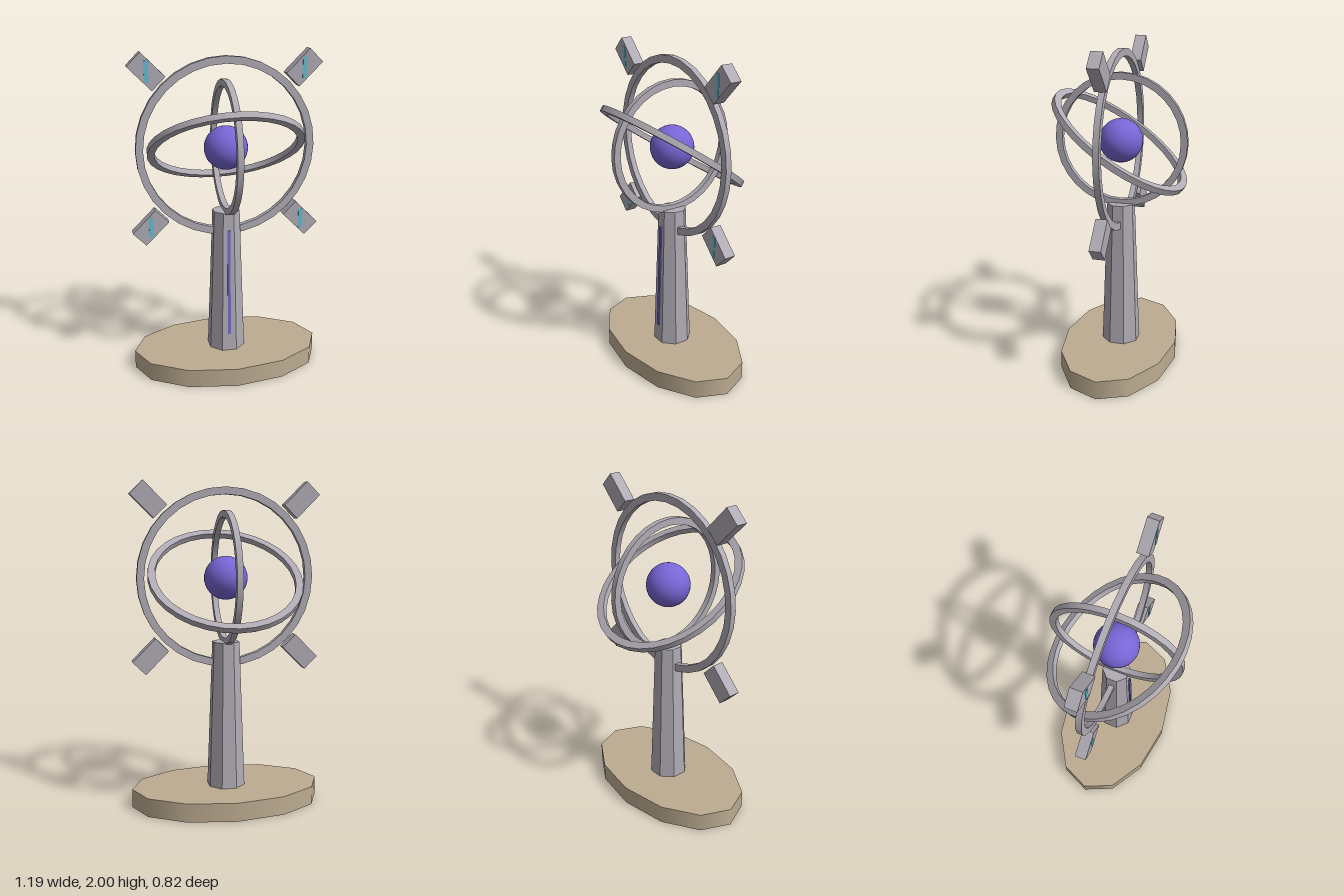
import * as THREE from 'three';
import { toCreasedNormals } from 'three/addons/utils/BufferGeometryUtils.js';

const material = (name, color) => {
  const m = new THREE.MeshStandardMaterial({ color });
  m.name = name;
  return m;
};

export function createModel() {
  const model = new THREE.Group();
  model.name = 'armillarySphere';
  const metal = material('paleMetal', 0xb0abb4);
  const stone = material('tanStone', 0xbdac91);
  const violet = material('violet', 0x7866d6);
  const cyan = material('cyan', 0x62bfd4);
  const centerY = 1.422;

  const add = (name, geometry, mat, x = 0, y = 0, z = 0) => {
    const mesh = new THREE.Mesh(geometry, mat);
    mesh.name = name;
    mesh.position.set(x, y, z);
    model.add(mesh);
    return mesh;
  };

  // Twelve-sided oval base
  const base = new THREE.CylinderGeometry(0.595, 0.595, 0.115, 12);
  base.scale(1, 1, 0.36 / 0.595);
  add('base', base, stone, 0, 0.0575, 0);

  // Tapered octagonal column, flat side to the front
  const column = new THREE.CylinderGeometry(0.086, 0.12, 0.915, 8);
  column.rotateY(Math.PI / 8);
  add('column', toCreasedNormals(column, 0.3), metal, 0, 0.5725, 0);

  // Light strip lying on the sloped front of the column
  const strip = add('columnStrip', new THREE.BoxGeometry(0.018, 0.69, 0.009), violet, 0, 0.575, 0.097);
  strip.rotation.x = -Math.atan(0.0314 / 0.915);

  // Core sphere
  add('core', new THREE.SphereGeometry(0.133, 32, 20), violet, 0, centerY, 0);

  // Square-section rings; each starts upright, facing +z
  const ring = (name, outer, inner, rx, ry) => {
    const h = 0.018;
    const profile = [[inner, -h], [outer, -h], [outer, h], [inner, h], [inner, -h]]
      .map(([r, y]) => new THREE.Vector2(r, y));
    const geometry = new THREE.LatheGeometry(profile, 32);
    geometry.rotateX(Math.PI / 2);
    add(name, toCreasedNormals(geometry, 0.6), metal, 0, centerY, 0).rotation.set(rx, ry, 0);
  };
  ring('outerRing', 0.545, 0.5, 0, 0);
  ring('tiltedRing', 0.477, 0.432, THREE.MathUtils.degToRad(55), 0);
  ring('innerRing', 0.408, 0.367, 0, Math.PI / 2);

  // Four radial pods, each with an upright light on its front
  for (const sx of [-1, 1]) {
    for (const sy of [-1, 1]) {
      const x = sx * 0.469, y = centerY + sy * 0.468;
      const pod = add('pod', new THREE.BoxGeometry(0.2, 0.113, 0.07), metal, x, y, 0);
      pod.rotation.z = sx * sy * Math.PI / 4;
      add('podLight', new THREE.BoxGeometry(0.025, 0.125, 0.006), cyan, x, y, 0.035);
    }
  }
  return model;
}
